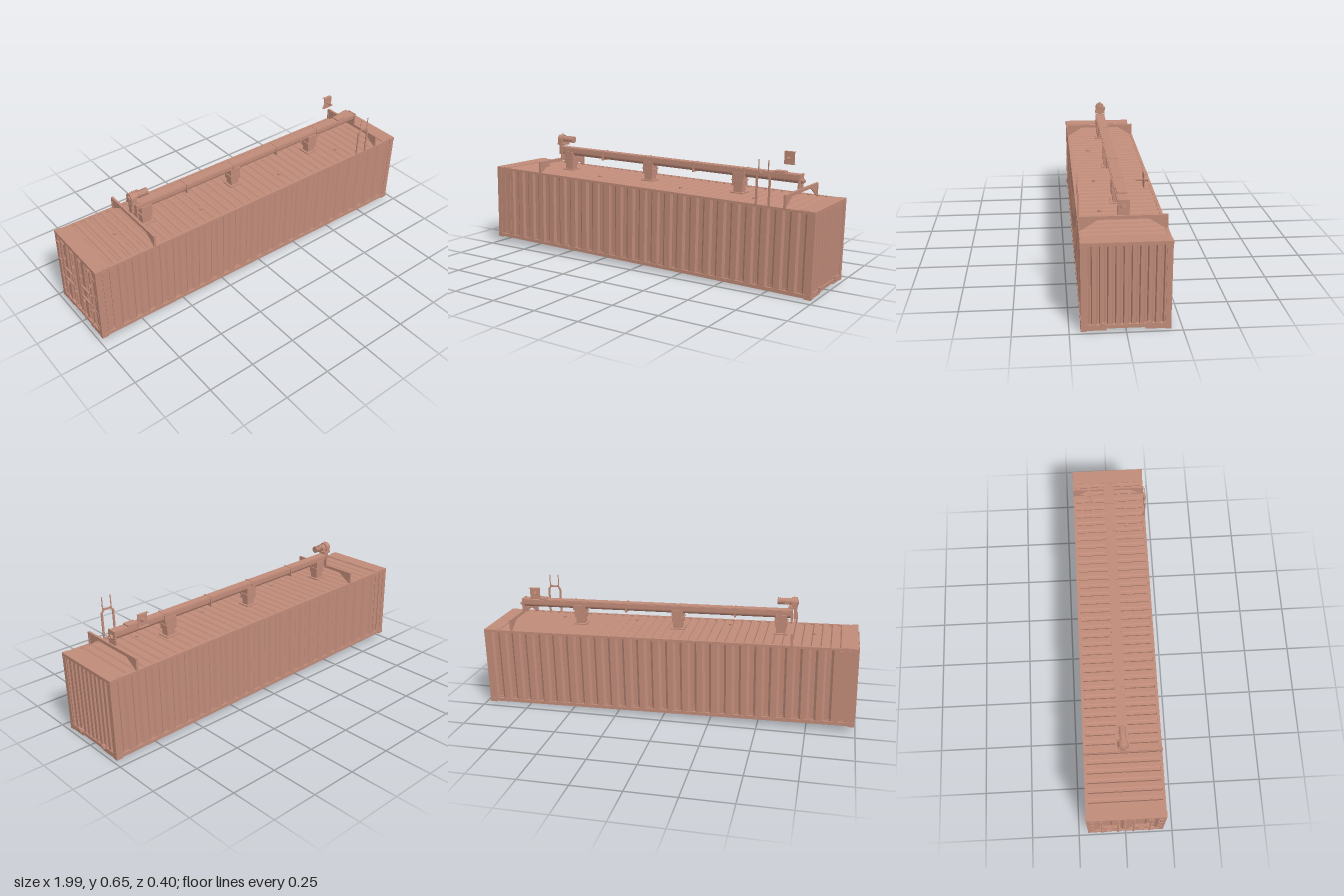
import * as THREE from 'three';

const paint = new THREE.MeshStandardMaterial({ color: 0xc08b79, side: THREE.DoubleSide });
paint.name = 'faded red paint';

const L = -0.993, R = 0.982, W = 0.2, H = 0.42; // container ends, half width, height
const MID = (L + R) / 2;

function add(parent, name, geo, x = 0, y = 0, z = 0) {
  const m = new THREE.Mesh(geo, paint);
  m.name = name;
  m.position.set(x, y, z);
  parent.add(m);
  return m;
}
// box given by its limits on each axis
function box(parent, name, x0, x1, y0, y1, z0, z1) {
  return add(parent, name, new THREE.BoxGeometry(x1 - x0, y1 - y0, z1 - z0), (x0 + x1) / 2, (y0 + y1) / 2, (z0 + z1) / 2);
}
function cyl(parent, name, r, len, axis, x, y, z, sides = 20) {
  const g = new THREE.CylinderGeometry(r, r, len, sides);
  if (axis === 'x') g.rotateZ(Math.PI / 2);
  if (axis === 'z') g.rotateX(Math.PI / 2);
  return add(parent, name, g, x, y, z);
}
const shapeOf = (pts) => new THREE.Shape(pts.map((p) => new THREE.Vector2(p[0], p[1])));
const extrude = (shape, depth) => new THREE.ExtrudeGeometry(shape, { depth, bevelEnabled: false, curveSegments: 12 });

// upright trapezoid-corrugated sheet, outer face at z = 0, grooves towards -z
function sheet(len, count, depth, height, crest = 0.4) {
  const pitch = len / count, t = 0.003, outer = [];
  const slope = (1 - crest) * 0.25, c = crest / 2;
  for (let i = 0; i < count; i++) {
    const x = -len / 2 + i * pitch;
    outer.push([x, 0], [x + pitch * c, 0], [x + pitch * (c + slope), depth], [x + pitch * (1 - c - slope), depth], [x + pitch * (1 - c), 0]);
  }
  outer.push([len / 2, 0]);
  const inner = outer.map((p) => [p[0], p[1] + t]).reverse();
  return extrude(shapeOf([...outer, ...inner]), height).rotateX(-Math.PI / 2);
}

function buildShell(g) {
  // side walls
  const wallLen = R - L - 0.05;
  for (const s of [1, -1]) {
    const m = add(g, 'sideWall', sheet(wallLen, 25, 0.009, H - 0.02), MID, 0.01, s * 0.196);
    if (s < 0) m.rotation.y = Math.PI;
    box(g, 'bottomRail', L, R, 0.004, 0.022, s * 0.19 - 0.008, s * 0.19 + 0.008);
    box(g, 'topRail', L, R, H - 0.014, H - 0.002, s * 0.191 - 0.007, s * 0.191 + 0.007);
  }
  // flat panels near the door end
  for (const s of [1, -1]) {
    for (const x of [-0.945, -0.908]) box(g, 'sidePlate', x - 0.012, x + 0.012, 0.03, H - 0.015, s * 0.1965 - 0.002, s * 0.1965 + 0.002);
  }
  // roof with cross ribs
  const roof = sheet(R - L - 0.05, 40, 0.006, 0.38, 0.5).rotateX(-Math.PI / 2);
  roof.translate(0, 0, -0.19);
  roof.computeBoundingBox();
  const b = roof.boundingBox;
  roof.translate(0, -b.max.y, -(b.min.z + b.max.z) / 2);
  add(g, 'roof', roof, MID, H - 0.003, 0);
  for (const x of [-0.77, -0.32, 0.2, 0.62]) cyl(g, 'roofVent', 0.009, 0.008, 'y', x, H + 0.002, 0.0 + (x < -0.5 ? 0 : 0.09), 12);

  // end frames and corner castings
  for (const [e, s] of [[R, 1], [L, -1]]) {
    const inX = e - s * 0.028, x0 = Math.min(e, inX), x1 = Math.max(e, inX);
    box(g, 'endHeader', x0, x1, H - 0.016, H - 0.002, -0.19, 0.19);
    box(g, 'endSill', x0, x1, 0.012, 0.03, -0.19, 0.19);
    box(g, 'headerPlate', Math.min(e, e - s * 0.085), Math.max(e, e - s * 0.085), H - 0.004, H, -0.19, 0.19);
    for (const z of [-1, 1]) {
      box(g, 'cornerPost', x0, x1, 0.02, H - 0.02, z * 0.186 - 0.0125, z * 0.186 + 0.0125);
      box(g, 'lowerSill', x0, x1, 0.004, 0.016, Math.min(z * 0.086, z * 0.19), Math.max(z * 0.086, z * 0.19));
      for (const y of [0.0115, H - 0.0115]) {
        box(g, 'cornerCasting', Math.min(e - s * 0.004, e - s * 0.034), Math.max(e - s * 0.004, e - s * 0.034), y - 0.0115, y + 0.0115, z * 0.187 - 0.013, z * 0.187 + 0.013);
        const face = shapeOf([[-0.013, -0.0115], [0.013, -0.0115], [0.013, 0.0115], [-0.013, 0.0115]]);
        face.holes.push(new THREE.Path().absellipse(0, 0, 0.005, 0.008, 0, Math.PI * 2));
        add(g, 'castingFace', extrude(face, 0.004).rotateY(s * Math.PI / 2), e - s * 0.004, y, z * 0.187);
      }
    }
  }
  // closed end wall with twist knobs
  add(g, 'endWall', sheet(0.35, 10, 0.012, H - 0.04, 0.5).rotateY(Math.PI / 2), R - 0.004, 0.026, 0);
  for (const z of [-0.099, 0.099]) {
    cyl(g, 'knob', 0.009, 0.016, 'x', R + 0.004, 0.033, z);
    for (let i = 0; i < 4; i++) {
      const a = Math.PI / 4 + i * Math.PI / 2;
      cyl(g, 'knobLobe', 0.0045, 0.008, 'x', R + 0.006, 0.033 + 0.01 * Math.sin(a), z + 0.01 * Math.cos(a), 10);
    }
  }
}

function buildDoors(g) {
  for (const s of [-1, 1]) {
    const door = new THREE.Group();
    door.name = 'door';
    g.add(door);
    const panel = add(door, 'doorPanel', sheet(0.168, 3, 0.008, H - 0.05, 0.4), L + 0.006, 0.03, s * 0.087);
    panel.rotation.y = -Math.PI / 2;
    for (const z of [0.04, 0.125]) {
      cyl(door, 'lockRod', 0.0035, H - 0.03, 'y', L - 0.003, H / 2, s * z, 10);
      for (const y of [0.035, 0.13, 0.29, 0.385]) box(door, 'rodBracket', L - 0.006, L + 0.007, y - 0.006, y + 0.006, s * z - 0.007, s * z + 0.007);
    }
    for (const y of [0.17, 0.235]) box(door, 'doorHandle', L - 0.006, L + 0.002, y - 0.004, y + 0.004, s * 0.083 - 0.052, s * 0.083 + 0.052);
    for (const y of [0.06, 0.15, 0.25, 0.36]) box(door, 'hinge', L - 0.003, L + 0.008, y - 0.008, y + 0.008, s * 0.175 - 0.01, s * 0.175 + 0.01);
  }
}

function buildUnderside(g) {
  box(g, 'floor', L + 0.02, R - 0.02, 0.026, 0.031, -0.19, 0.19);
  const n = 42;
  for (let i = 1; i < n; i++) {
    const x = L + (R - L) * i / n;
    const spans = x > 0.45 ? [[-0.19, -0.088], [0.088, 0.19]] : [[-0.19, 0.19]];
    for (const [z0, z1] of spans) {
      box(g, 'crossMember', x - 0.003, x + 0.003, 0.007, 0.027, z0, z1);
      box(g, 'crossMemberFlange', x - 0.003, x + 0.012, 0.007, 0.01, z0, z1);
    }
  }
  // recessed tunnel with fine ribs
  box(g, 'tunnelPlate', 0.45, R - 0.02, 0.019, 0.023, -0.088, 0.088);
  for (const z of [-0.088, 0.088]) box(g, 'tunnelBeam', 0.45, R - 0.02, 0.006, 0.027, z - 0.004, z + 0.004);
  for (let x = 0.46; x < 0.95; x += 0.016) box(g, 'tunnelRib', x, x + 0.005, 0.013, 0.02, -0.085, 0.085);
}

function buildConveyor(g) {
  // U-shaped trough along the roof
  const r = 0.02, x0 = -0.65, x1 = 0.82, cy = 0.523;
  const u = new THREE.Shape();
  u.moveTo(-r, 0.022);
  u.lineTo(-r, 0);
  u.absarc(0, 0, r, Math.PI, Math.PI * 2, false);
  u.lineTo(r, 0.022);
  add(g, 'trough', extrude(u, x1 - x0).rotateY(Math.PI / 2), x0, cy, 0);
  box(g, 'troughLid', x0, x1, cy + 0.022, cy + 0.025, -0.022, 0.022);
  for (const z of [-0.0235, 0.0235]) box(g, 'troughLip', x0, x1, cy + 0.016, cy + 0.022, z - 0.0035, z + 0.0035);
  for (let i = 0; i <= 5; i++) {
    const x = x0 + (x1 - x0) * i / 5, e = i % 5 === 0;
    box(g, e ? 'troughEndPlate' : 'troughFlange', x - 0.004, x + 0.004, cy - (e ? 0.045 : 0.025), cy + 0.027, -0.027, 0.027);
  }
  // end bearing with bolts
  cyl(g, 'endBearing', 0.013, 0.014, 'x', x1 + 0.008, cy - 0.006, 0);
  cyl(g, 'endShaft', 0.006, 0.024, 'x', x1 + 0.012, cy - 0.006, 0);
  for (let i = 0; i < 8; i++) {
    const a = i * Math.PI / 4;
    cyl(g, 'flangeBolt', 0.002, 0.005, 'x', x1 + 0.005, cy - 0.006 + 0.02 * Math.sin(a), 0.02 * Math.cos(a), 6);
  }
  // outlet chutes down into the roof
  for (const x of [-0.597, -0.05, 0.492]) {
    box(g, 'chute', x - 0.03, x + 0.03, 0.455, cy, -0.0265, 0.0265);
    box(g, 'chuteNeck', x - 0.024, x + 0.024, H - 0.004, 0.456, -0.021, 0.021);
    box(g, 'chuteFlange', x - 0.036, x + 0.036, 0.482, 0.487, -0.028, 0.028);
    box(g, 'chuteBase', x - 0.036, x + 0.036, H - 0.002, H + 0.004, -0.034, 0.034);
  }
  box(g, 'inletTray', 0.685, 0.742, cy + 0.02, cy + 0.032, -0.022, 0.022);

  // drive motor above the far end
  const my = 0.59, mx = -0.668;
  box(g, 'motorStem', mx - 0.006, mx + 0.008, cy - 0.02, my, -0.014, 0.014);
  box(g, 'motorFoot', mx - 0.01, mx + 0.035, my - 0.032, my - 0.022, -0.027, 0.027);
  cyl(g, 'gearbox', 0.025, 0.03, 'x', mx + 0.006, my, 0, 24);
  box(g, 'gearboxBody', mx - 0.007, mx + 0.02, my - 0.025, my, -0.025, 0.025);
  cyl(g, 'gearboxCap', 0.014, 0.008, 'x', mx - 0.011, my, 0);
  cyl(g, 'motor', 0.016, 0.075, 'x', mx + 0.055, my + 0.002, 0, 24);
  for (let i = 0; i < 6; i++) cyl(g, 'coolingFin', 0.0185, 0.003, 'x', mx + 0.04 + i * 0.01, my + 0.002, 0);
  box(g, 'terminalBox', mx + 0.03, mx + 0.055, my - 0.008, my + 0.01, -0.03, -0.012);
  add(g, 'liftingEye', new THREE.TorusGeometry(0.005, 0.0013, 6, 14).rotateY(Math.PI / 2), mx + 0.01, my + 0.028, 0);
}

// gusseted cross frame standing on the roof
function buildPortal(g, x) {
  const half = [[-0.197, H - 0.004], [-0.185, H - 0.004], [-0.11, 0.464]];
  const pts = [...half, ...half.slice().reverse().map((p) => [-p[0], p[1]]), [0.197, 0.48], [-0.197, 0.48]];
  add(g, 'crossFrame', extrude(shapeOf(pts), 0.004).rotateY(Math.PI / 2), x, 0, 0);
  box(g, 'crossBeam', x - 0.004, x + 0.008, 0.464, 0.48, -0.195, 0.195);
  for (const z of [-0.192, 0.192]) box(g, 'framePost', x - 0.004, x + 0.008, H - 0.004, 0.48, z - 0.005, z + 0.005);
}

function buildLadder(g) {
  const x = 0.713, z = 0.194, ladder = new THREE.Group();
  ladder.name = 'ladderHoop';
  g.add(ladder);
  for (const s of [-1, 1]) {
    box(ladder, 'hoopRail', x + s * 0.033 - 0.005, x + s * 0.033 + 0.005, H - 0.01, 0.555, z - 0.003, z + 0.003);
    const brace = box(ladder, 'hoopShoulder', x + s * 0.0255 - 0.004, x + s * 0.0255 + 0.004, 0.546, 0.576, z - 0.003, z + 0.003);
    brace.rotation.z = s * 0.5;
    box(ladder, 'hoopProng', x + s * 0.025 - 0.0025, x + s * 0.025 + 0.0025, 0.565, 0.634, z + 0.001, z + 0.003);
  }
  box(ladder, 'hoopTop', x - 0.024, x + 0.024, 0.563, 0.571, z - 0.003, z + 0.003);
}

// channel bracket with a shaft and hub, set apart from the rest
function buildBracket(g) {
  const x = 0.713, y = 0.604, b = new THREE.Group();
  b.name = 'sensorBracket';
  g.add(b);
  box(b, 'bracketPlate', x - 0.028, x + 0.028, y - 0.033, y + 0.033, -0.0995, -0.0975);
  for (const s of [-1, 1]) box(b, 'bracketFlange', x - 0.028, x + 0.028, y + s * 0.032 - 0.001, y + s * 0.032 + 0.001, -0.114, -0.0975);
  cyl(b, 'sensorShaft', 0.0055, 0.036, 'z', x, y, -0.081);
  cyl(b, 'hubFlange', 0.014, 0.006, 'z', x, y, -0.102);
  cyl(b, 'hub', 0.009, 0.014, 'z', x, y, -0.111);
}

export function createModel() {
  const model = new THREE.Group();
  model.name = 'container';
  const tilted = new THREE.Group();
  tilted.name = 'tiltedContainer';
  tilted.rotation.z = -0.0175; // the whole assembly slopes by one degree
  tilted.position.y = 0.0172;
  model.add(tilted);
  for (const build of [buildShell, buildDoors, buildUnderside, buildConveyor, buildLadder, buildBracket]) build(tilted);
  for (const x of [0.825, -0.667]) buildPortal(tilted, x);
  return model;
}
